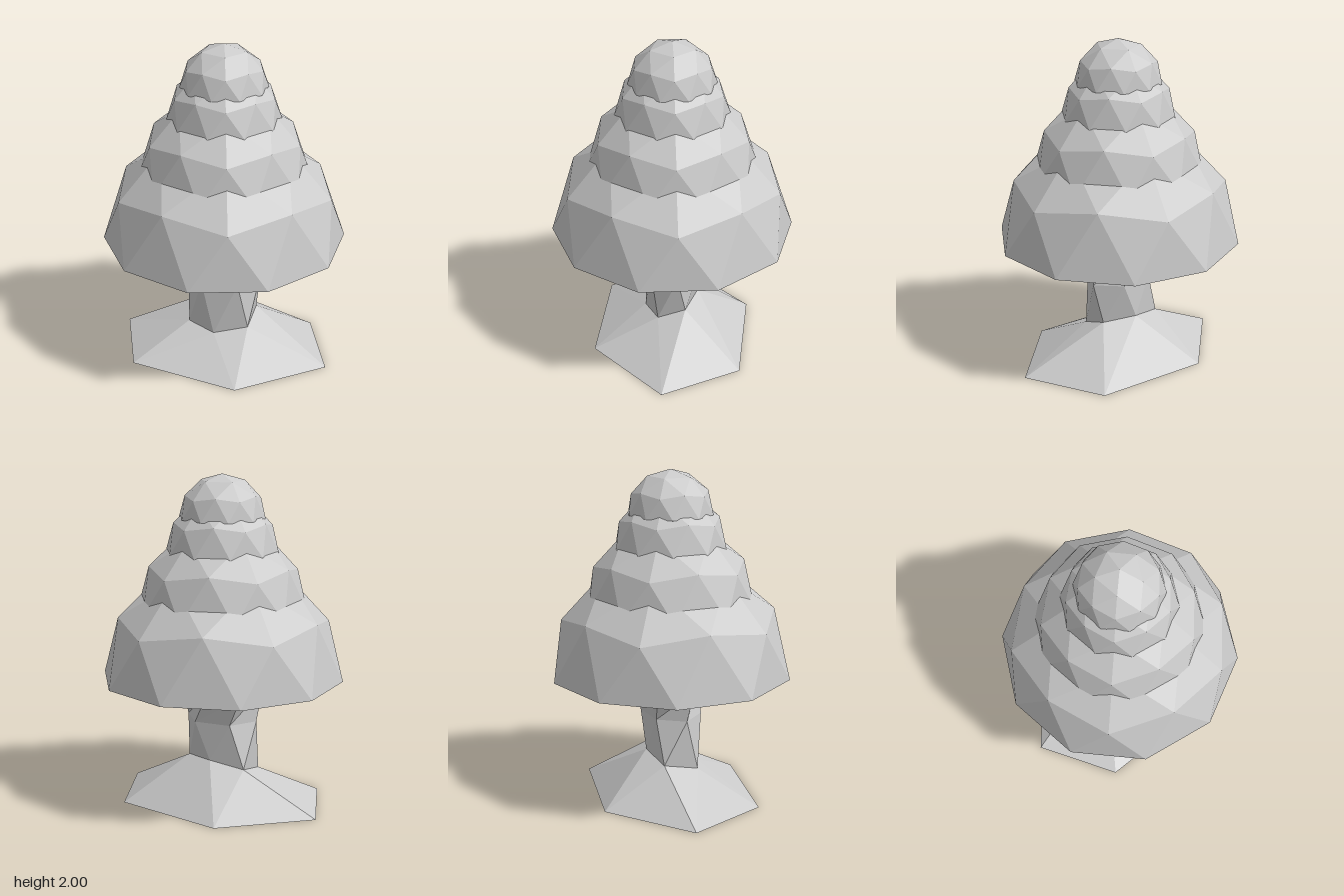
import * as THREE from 'three';

const material = new THREE.MeshStandardMaterial({ color: 0xcccccc, flatShading: true });

function part(geometry, name, y = 0) {
  const mesh = new THREE.Mesh(geometry, material);
  mesh.name = name;
  mesh.position.y = y;
  return mesh;
}

// Upper half of a once-subdivided icosahedron with a vertex at the top
function domeGeometry(radius) {
  const ball = new THREE.IcosahedronGeometry(radius, 1);
  ball.rotateZ(Math.atan2(1, (1 + Math.sqrt(5)) / 2));
  ball.rotateY(Math.PI);
  const src = ball.attributes.position;
  const kept = [];
  for (let i = 0; i < src.count; i += 3) {
    if (src.getY(i) + src.getY(i + 1) + src.getY(i + 2) < 1e-4) continue;
    for (let k = i; k < i + 3; k++) kept.push(src.getX(k), src.getY(k), src.getZ(k));
  }
  const geometry = new THREE.BufferGeometry();
  geometry.setAttribute('position', new THREE.Float32BufferAttribute(kept, 3));
  geometry.computeVertexNormals();
  return geometry;
}

// One leaf tier: a faceted dome closed by a shallow tapered underside
function createTier(radius, y, name) {
  const tier = new THREE.Group();
  tier.name = name;
  const depth = radius * 0.118;
  const underside = new THREE.CylinderGeometry(radius, radius * 0.56, depth, 10);
  tier.add(part(domeGeometry(radius), 'dome'), part(underside, 'underside', -depth / 2));
  tier.position.y = y;
  return tier;
}

// Joins six-point rings, bottom to top, and closes both ends
function loftGeometry(rings) {
  const n = rings[0].length;
  const points = rings.flat(2);
  const index = [];
  for (let r = 0; r < rings.length - 1; r++) {
    for (let j = 0; j < n; j++) {
      const a = r * n + j, b = r * n + (j + 1) % n;
      index.push(a, b, b + n, a, b + n, a + n);
    }
  }
  const top = (rings.length - 1) * n;
  for (let j = 1; j < n - 1; j++) {
    index.push(0, j + 1, j, top, top + j, top + j + 1);
  }
  const geometry = new THREE.BufferGeometry();
  geometry.setAttribute('position', new THREE.Float32BufferAttribute(points, 3));
  geometry.setIndex(index);
  const flat = geometry.toNonIndexed();
  flat.computeVertexNormals();
  return flat;
}

// Three points of a ring, repeated on the opposite side
const symmetricRing = (y, half) => [
  ...half.map(([x, z]) => [x, y, z]),
  ...half.map(([x, z]) => [-x, y, -z]),
];

export function createModel() {
  const tree = new THREE.Group();
  tree.name = 'tree';

  // Twisted six-sided trunk with a wide, flared root base
  const rings = [
    symmetricRing(0, [[0.21, 0.5], [0.68, 0.1], [0.475, -0.387]]),
    [[-0.02, 0.17, 0.17], [0.18, 0.205, 0.1], [0.19, 0.265, -0.07],
      [0, 0.28, -0.16], [-0.21, 0.24, -0.12], [-0.2, 0.19, 0.1]],
    symmetricRing(0.51, [[-0.1, 0.16], [0.125, 0.14], [0.225, -0.02]]),
    symmetricRing(0.7, [[-0.005, 0.185], [0.21, 0.16], [0.245, -0.06]]),
  ];
  tree.add(part(loftGeometry(rings), 'trunk'));

  // Stacked foliage: radius and rim height of each tier
  const tiers = [[0.735, 0.77], [0.515, 1.19], [0.34, 1.54], [0.26, 1.74]];
  tiers.forEach(([radius, y], i) => tree.add(createTier(radius, y, `foliageTier${i + 1}`)));

  return tree;
}
